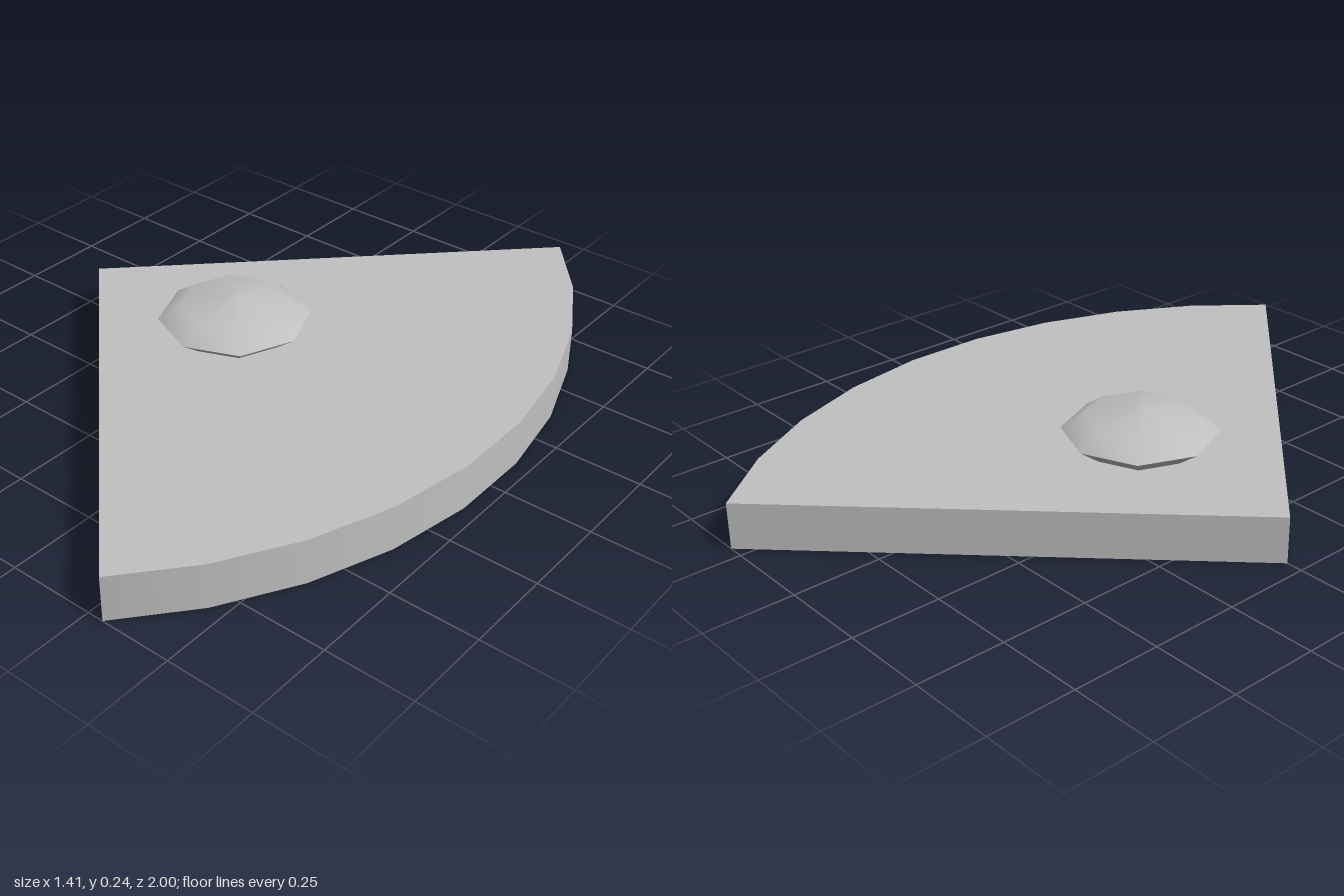
import * as THREE from 'three';

export function createModel() {
  const model = new THREE.Group();
  const grey = new THREE.MeshStandardMaterial({ color: 0xc0c0c0 });
  grey.name = 'light grey';

  const radius = Math.SQRT2, height = 0.132, apexX = -0.704;

  const add = (parent, name, geometry) => {
    const mesh = new THREE.Mesh(geometry, grey);
    mesh.name = name;
    parent.add(mesh);
    return mesh;
  };

  // Quarter-round slab: curved rim with top and bottom, closed by two straight walls
  const slab = new THREE.Group();
  slab.name = 'quarterSlab';
  slab.position.set(apexX, height / 2, 0);
  model.add(slab);
  add(slab, 'slabBody', new THREE.CylinderGeometry(
    radius, radius, height, 9, 1, false, Math.PI / 4, Math.PI / 2));
  for (const side of [1, -1]) {
    const wall = add(slab, side > 0 ? 'frontWall' : 'backWall',
      new THREE.PlaneGeometry(radius, height));
    wall.position.set(0.5, 0, 0.5 * side);
    wall.rotation.y = side > 0 ? -Math.PI / 4 : -3 * Math.PI / 4;
  }

  // Flattened eight-sided knob: smooth halves meeting at a sharp equator
  const knob = new THREE.Group();
  knob.name = 'knob';
  knob.position.set(-0.163, 0.178, 0);
  model.add(knob);
  const lathe = (points) => new THREE.LatheGeometry(
    points.map(([r, y]) => new THREE.Vector2(r, y)), 8);
  add(knob, 'knobTop', lathe([[0.215, 0], [0.152, 0.044], [0, 0.0625]]));
  add(knob, 'knobUnderside', lathe([[0, -0.0625], [0.152, -0.046], [0.215, 0]]));

  return model;
}
